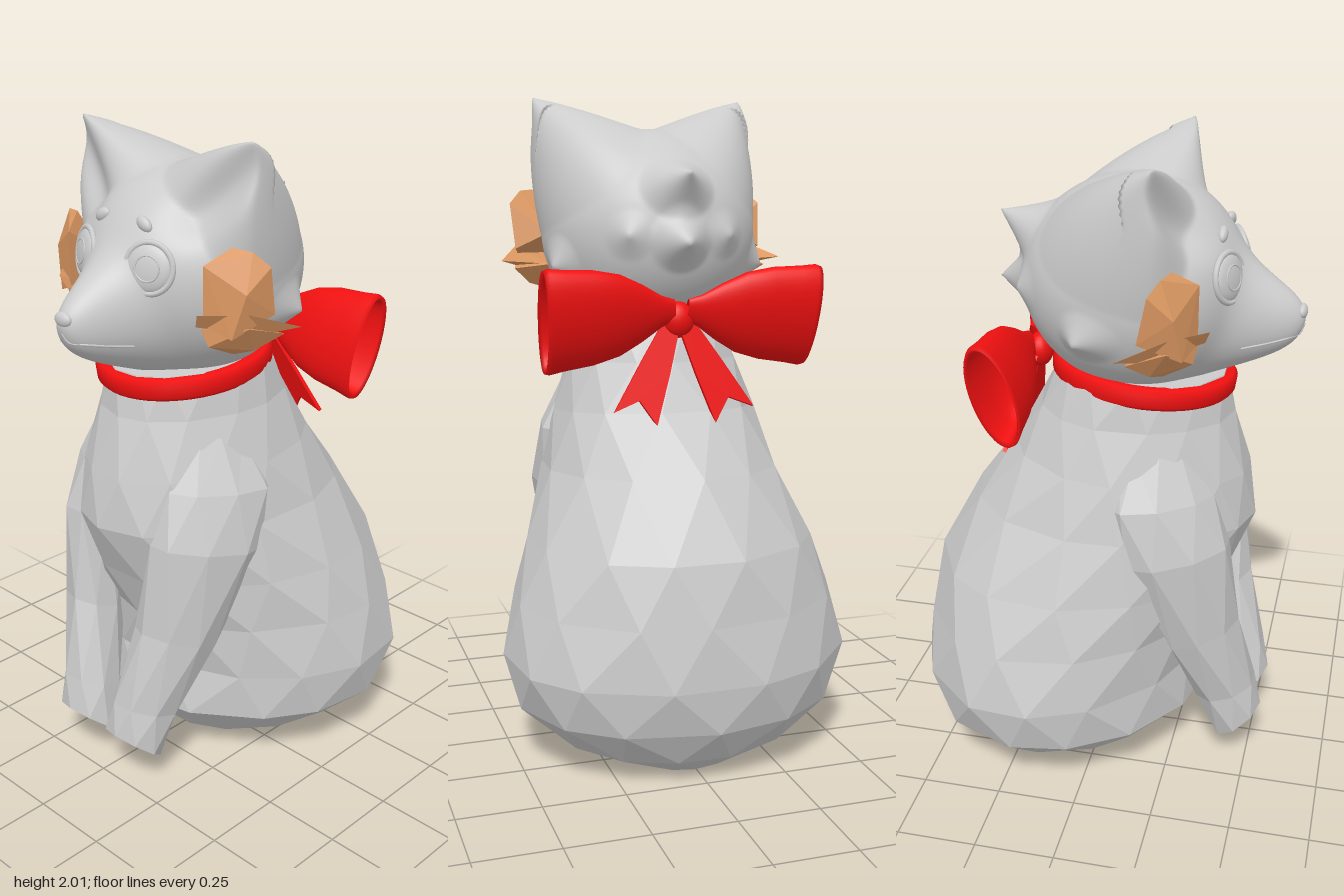
import * as THREE from 'three';
import { mergeVertices } from 'three/addons/utils/BufferGeometryUtils.js';
import { ConvexGeometry } from 'three/addons/geometries/ConvexGeometry.js';

const V = (x, y, z) => new THREE.Vector3(x, y, z);
const grey = new THREE.MeshStandardMaterial({ color: 0xcccccc });
const greyFlat = new THREE.MeshStandardMaterial({ color: 0xcccccc, flatShading: true });
const red = new THREE.MeshStandardMaterial({ color: 0xf01010, side: THREE.DoubleSide });
const tan = new THREE.MeshStandardMaterial({ color: 0xdc9862, flatShading: true });

function add(parent, name, geometry, material) {
  const mesh = new THREE.Mesh(geometry, material);
  mesh.name = name;
  parent.add(mesh);
  return mesh;
}

// Faceted loft, bottom to top; skew narrows the front, shear shifts it sideways.
// Ring: [frontZ, frontY, backZ, backY, xMin, xMax, shear]
function loft(rings, sides, skew, uneven) {
  const pos = [], idx = [];
  rings.forEach(([fz, fy, bz, by, x0, x1, shear = 0], i) => {
    for (let j = 0; j < sides; j++) {
      const a = ((j + (i % 2) * 0.5) / sides) * Math.PI * 2 + uneven * Math.sin(j * 2.3 + i * 1.7);
      const c = Math.cos(a), s = Math.sin(a);
      pos.push((x0 + x1) / 2 + ((x1 - x0) / 2) * s * (1 - skew * c) + shear * c,
        (fy + by) / 2 + ((fy - by) / 2) * c, (fz + bz) / 2 + ((fz - bz) / 2) * c);
    }
  });
  for (let i = 0; i < rings.length - 1; i++) for (let j = 0; j < sides; j++) {
    const k = (j + 1) % sides, a = i * sides, d = a + sides;
    if (i % 2) idx.push(a + j, a + k, d + k, a + j, d + k, d + j);
    else idx.push(a + j, a + k, d + j, a + k, d + k, d + j);
  }
  // end caps
  for (const i of [0, rings.length - 1]) {
    const [fz, fy, bz, by, x0, x1] = rings[i], m = pos.length / 3, o = i * sides;
    pos.push((x0 + x1) / 2, (fy + by) / 2, (fz + bz) / 2);
    for (let j = 0; j < sides; j++) {
      const k = (j + 1) % sides;
      if (i) idx.push(m, o + j, o + k); else idx.push(m, o + k, o + j);
    }
  }
  const g = new THREE.BufferGeometry();
  g.setAttribute('position', new THREE.Float32BufferAttribute(pos, 3));
  g.setIndex(idx);
  g.computeVertexNormals();
  return g;
}

// Head: an ellipsoid with a muzzle, ears and fur tips pulled out of it
const C = V(0, 1.61, 0.1), RX = 0.335;
const radiusY = up => (up > 0 ? 0.31 : 0.33);
const radiusZ = fwd => (fwd > 0 ? 0.315 : 0.355);
function spike(tip, inX, outX, front, back, height, power) {
  const t = tip.clone().sub(C);
  const len = Math.hypot(t.x / RX, t.y / radiusY(t.y), t.z / radiusZ(t.z));
  const base = t.clone().divideScalar(len).add(C);
  const pull = tip.clone().sub(base);
  return p => {
    const x = (p.x - base.x) * (base.x < 0 ? -1 : 1), z = p.z - base.z;
    const d = Math.hypot(x / (x > 0 ? outX : inX), (p.y - base.y) / height, z / (z > 0 ? front : back));
    return pull.clone().multiplyScalar(Math.pow(Math.max(0, 1 - d), power));
  };
}
const spikes = [];
for (const s of [-1, 1]) {
  spikes.push(spike(V(s * 0.345, 2.015, 0.225), 0.19, 0.24, 0.12, 0.36, 0.31, 1.25)); // ears
  spikes.push(spike(V(s * 0.34, 1.5, -0.03), 0.1, 0.1, 0.13, 0.08, 0.09, 1.5)); // side fur
  spikes.push(spike(V(s * 0.16, 1.6, -0.24), 0.08, 0.08, 0.1, 0.1, 0.08, 1.5)); // back fur
}
spikes.push(spike(V(0, 1.785, -0.33), 0.12, 0.12, 0.14, 0.14, 0.1, 1.4));
spikes.push(spike(V(0, 1.58, -0.335), 0.1, 0.1, 0.14, 0.14, 0.1, 1.4));

function deform(p) {
  const q = p.clone();
  for (const f of spikes) q.add(f(p));
  if (p.z > C.z) {
    // narrow, blunt muzzle
    const dy = p.y - 1.48;
    const d = Math.hypot(p.x / 0.105, dy / (dy > 0 ? 0.165 : 0.14));
    q.z += 0.195 * Math.exp(-Math.pow(d, 2.7));
    // hollow of the ears
    const e = Math.hypot((Math.abs(p.x) - 0.215) / 0.07, (p.y - 1.81) / 0.055);
    q.z -= 0.045 * Math.exp(-e * e);
  }
  return q;
}
// Point on the face at a given x and y
function face(x, y, lift = 0) {
  const dy = y - C.y, r = 1 - (x / RX) ** 2 - (dy / radiusY(dy)) ** 2;
  const p = deform(V(x, y, C.z + radiusZ(1) * Math.sqrt(Math.max(0, r))));
  p.z += lift;
  return p;
}

function makeHead() {
  const head = new THREE.Group();
  head.name = 'head';
  let g = new THREE.IcosahedronGeometry(1, 40);
  g.deleteAttribute('uv');
  g.deleteAttribute('normal');
  g = mergeVertices(g);
  const pos = g.attributes.position, p = V();
  for (let i = 0; i < pos.count; i++) {
    p.fromBufferAttribute(pos, i);
    p.set(p.x * RX, p.y * radiusY(p.y), p.z * radiusZ(p.z)).add(C);
    const q = deform(p);
    pos.setXYZ(i, q.x, q.y, q.z);
  }
  g.computeVertexNormals();
  add(head, 'skull', g, grey);

  const nose = add(head, 'nose', new THREE.SphereGeometry(0.032, 20, 12), grey);
  nose.scale.set(1, 0.7, 0.5);
  nose.position.copy(face(0, 1.538, -0.008));

  for (const s of [-1, 1]) {
    const eye = new THREE.Group();
    eye.name = s > 0 ? 'leftEye' : 'rightEye';
    eye.position.copy(face(s * 0.132, 1.668, -0.006));
    eye.rotation.set(-0.18, s * 0.4, 0);
    add(eye, 'eyeball', new THREE.SphereGeometry(0.068, 28, 16), grey).scale.z = 0.3;
    add(eye, 'eyelid', new THREE.TorusGeometry(0.071, 0.009, 8, 36), grey);
    add(eye, 'iris', new THREE.TorusGeometry(0.036, 0.003, 6, 28), grey).position.z = 0.017;
    head.add(eye);

    const brow = add(head, s > 0 ? 'leftBrow' : 'rightBrow', new THREE.SphereGeometry(0.03, 16, 10), grey);
    brow.scale.set(1, 0.65, 0.5);
    brow.position.copy(face(s * 0.085, 1.778));
    brow.rotation.z = -s * 0.5;

    const line = [[0, 1.5], [0.015, 1.474], [0.05, 1.468], [0.08, 1.455], [0.105, 1.445]];
    const path = new THREE.CatmullRomCurve3(line.map(([x, y]) => face(s * x, y, -0.001)));
    add(head, 'mouth', new THREE.TubeGeometry(path, 20, 0.004, 6), grey);

    // cheek fur: a broad tuft above pointed leaves
    const tuft = new THREE.Group();
    tuft.name = s > 0 ? 'leftCheekFur' : 'rightCheekFur';
    const pieces = [
      [[0.28, 1.69, 0.32], [0.32, 1.735, 0.25], [0.38, 1.73, 0.23], [0.42, 1.69, 0.2], [0.41, 1.55, 0.17],
        [0.36, 1.49, 0.29], [0.28, 1.52, 0.32], [0.395, 1.62, 0.27], [0.3, 1.6, 0.17]],
      [[0.27, 1.52, 0.34], [0.29, 1.56, 0.355], [0.39, 1.56, 0.25], [0.465, 1.515, 0.12], [0.38, 1.49, 0.2], [0.3, 1.5, 0.2]],
      [[0.27, 1.51, 0.32], [0.29, 1.46, 0.31], [0.39, 1.52, 0.25], [0.42, 1.49, 0.14], [0.36, 1.44, 0.2], [0.31, 1.425, 0.23], [0.29, 1.5, 0.18]],
    ];
    for (const pts of pieces) add(tuft, 'tuft', new ConvexGeometry(pts.map(([x, y, z]) => V(s * x, y, z))), tan);
    head.add(tuft);
  }
  return head;
}

function makeBow() {
  const bow = new THREE.Group();
  bow.name = 'bow';
  const v2 = a => a.map(([x, y]) => new THREE.Vector2(x, y));

  // neck band
  const band = new THREE.LatheGeometry(v2([[0.22, -0.028], [0.252, -0.032], [0.262, -0.02], [0.264, 0.015],
    [0.253, 0.032], [0.22, 0.03]]), 48);
  band.scale(0.96, 1, 1.08);
  const collar = add(bow, 'collar', band, red);
  collar.position.set(0, 1.318, 0.115);
  collar.rotation.x = 0.09;

  const knot = add(bow, 'knot', new THREE.SphereGeometry(0.05, 20, 14), red);
  knot.scale.set(1, 1.1, 0.8);
  knot.position.set(0, 1.35, -0.215);

  for (const s of [-1, 1]) {
    const side = new THREE.Group();
    side.name = s > 0 ? 'leftBowSide' : 'rightBowSide';
    side.scale.x = s;
    // puffed open loop with a rounded rim
    const loop = new THREE.LatheGeometry(v2([[0.035, 0], [0.05, 0.04], [0.09, 0.1], [0.128, 0.17], [0.148, 0.25],
      [0.157, 0.34], [0.164, 0.385], [0.159, 0.4], [0.145, 0.39], [0.135, 0.3], [0.1, 0.18], [0, 0.1]]), 40);
    loop.rotateZ(-Math.PI / 2);
    loop.scale(1, 1, 0.4);
    const l = add(side, 'loop', loop, red);
    l.position.set(0.02, 1.38, -0.24);
    l.rotation.set(-0.3, 0.03, -0.06);

    // forked tail
    const shape = new THREE.Shape(v2([[-0.025, 0], [0.025, 0], [0.05, -0.15], [0.075, -0.32], [0.015, -0.26],
      [-0.06, -0.31], [-0.045, -0.15]]));
    const tailGeo = new THREE.ExtrudeGeometry(shape, { depth: 0.012, bevelEnabled: false });
    const tail = add(side, 'tail', tailGeo, red);
    tail.position.set(0.02, 1.345, -0.225);
    tail.rotation.set(0.26, -0.05, 0.42);
    bow.add(side);
  }
  return bow;
}

export function createModel() {
  const cat = new THREE.Group();
  cat.name = 'sittingCat';

  add(cat, 'body', loft([
    [-0.05, 0.01, -0.4, 0.0, -0.16, 0.16],
    [0.2, 0.06, -0.5, 0.07, -0.36, 0.36],
    [0.33, 0.2, -0.575, 0.18, -0.5, 0.5],
    [0.31, 0.35, -0.6, 0.32, -0.535, 0.535],
    [0.34, 0.52, -0.58, 0.5, -0.495, 0.495],
    [0.41, 0.68, -0.545, 0.68, -0.44, 0.44],
    [0.48, 0.86, -0.42, 0.9, -0.365, 0.365],
    [0.455, 1.02, -0.29, 1.08, -0.315, 0.315],
    [0.4, 1.2, -0.21, 1.22, -0.265, 0.265],
    [0.37, 1.33, -0.14, 1.36, -0.235, 0.235],
  ], 14, 0.12, 0.04), greyFlat);

  for (const s of [-1, 1]) {
    const rings = [
      [0.54, 0.2, 0.39, 0.08, 0.01, 0.205, 0],
      [0.52, 0.3, 0.33, 0.24, 0.025, 0.225, -0.01],
      [0.46, 0.55, 0.24, 0.47, 0.08, 0.29, -0.03],
      [0.43, 0.84, 0.12, 0.79, 0.15, 0.345, -0.06],
      [0.37, 1.0, 0.07, 0.98, 0.17, 0.325, -0.06],
      [0.27, 1.16, 0.08, 1.11, 0.16, 0.26, -0.02],
    ];
    const placed = rings.map(r => [...r.slice(0, 4), ...(s > 0 ? [r[4], r[5]] : [-r[5], -r[4]]), s * r[6]]);
    add(cat, s > 0 ? 'leftFrontLeg' : 'rightFrontLeg', loft(placed, 8, 0, 0), greyFlat);
  }

  cat.add(makeHead(), makeBow());
  return cat;
}
